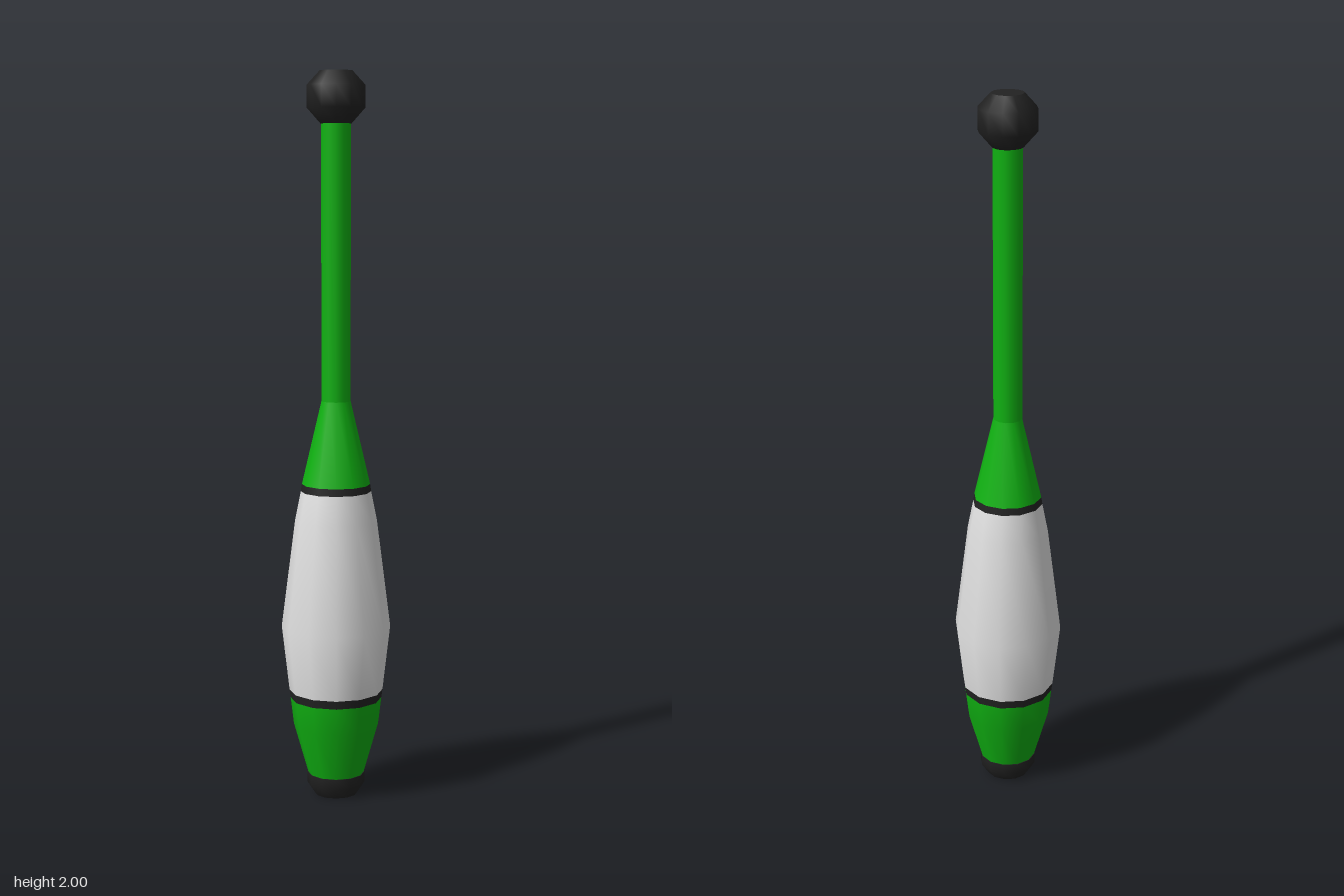
import * as THREE from 'three';
import { mergeGeometries } from 'three/addons/utils/BufferGeometryUtils.js';

const SIDES = 12;

function material(name, color) {
  const m = new THREE.MeshStandardMaterial({ color });
  m.name = name;
  return m;
}

// Turned part: each profile [radius, height] is smooth, with a crease between profiles
function turned(name, mat, ...profiles) {
  const pieces = profiles.map((p) =>
    new THREE.LatheGeometry(p.map(([r, y]) => new THREE.Vector2(r, y)), SIDES));
  const mesh = new THREE.Mesh(mergeGeometries(pieces), mat);
  mesh.name = name;
  return mesh;
}

export function createModel() {
  const green = material('green', 0x10b212);
  const white = material('white', 0xe2e2e2);
  const black = material('black', 0x222222);

  const club = new THREE.Group();
  club.name = 'jugglingClub';
  club.add(
    // Rubber foot
    turned('foot', black,
      [[0, 0], [0.06, 0]],
      [[0.06, 0], [0.08, 0.03], [0.08, 0.06]],
      [[0.08, 0.06], [0.07, 0.06]]),
    // Body from the foot up to the neck
    turned('lowerBody', green, [[0.078, 0.06], [0.118, 0.2], [0.127, 0.275]]),
    turned('lowerStripe', black, [[0.127, 0.275], [0.13, 0.298]]),
    turned('middleBody', white, [[0.13, 0.298], [0.151, 0.48], [0.113, 0.78], [0.097, 0.86]]),
    turned('upperStripe', black, [[0.097, 0.86], [0.094, 0.88]]),
    turned('neck', green, [[0.094, 0.88], [0.04, 1.11]]),
    // Handle and end knob
    turned('handle', green, [[0.04, 1.11], [0.04, 1.862]]),
    turned('knob', black,
      [[0, 1.86], [0.042, 1.86]],
      [[0.042, 1.86], [0.079, 1.902], [0.079, 1.962], [0.044, 2]],
      [[0.044, 2], [0, 2]]),
  );
  return club;
}
